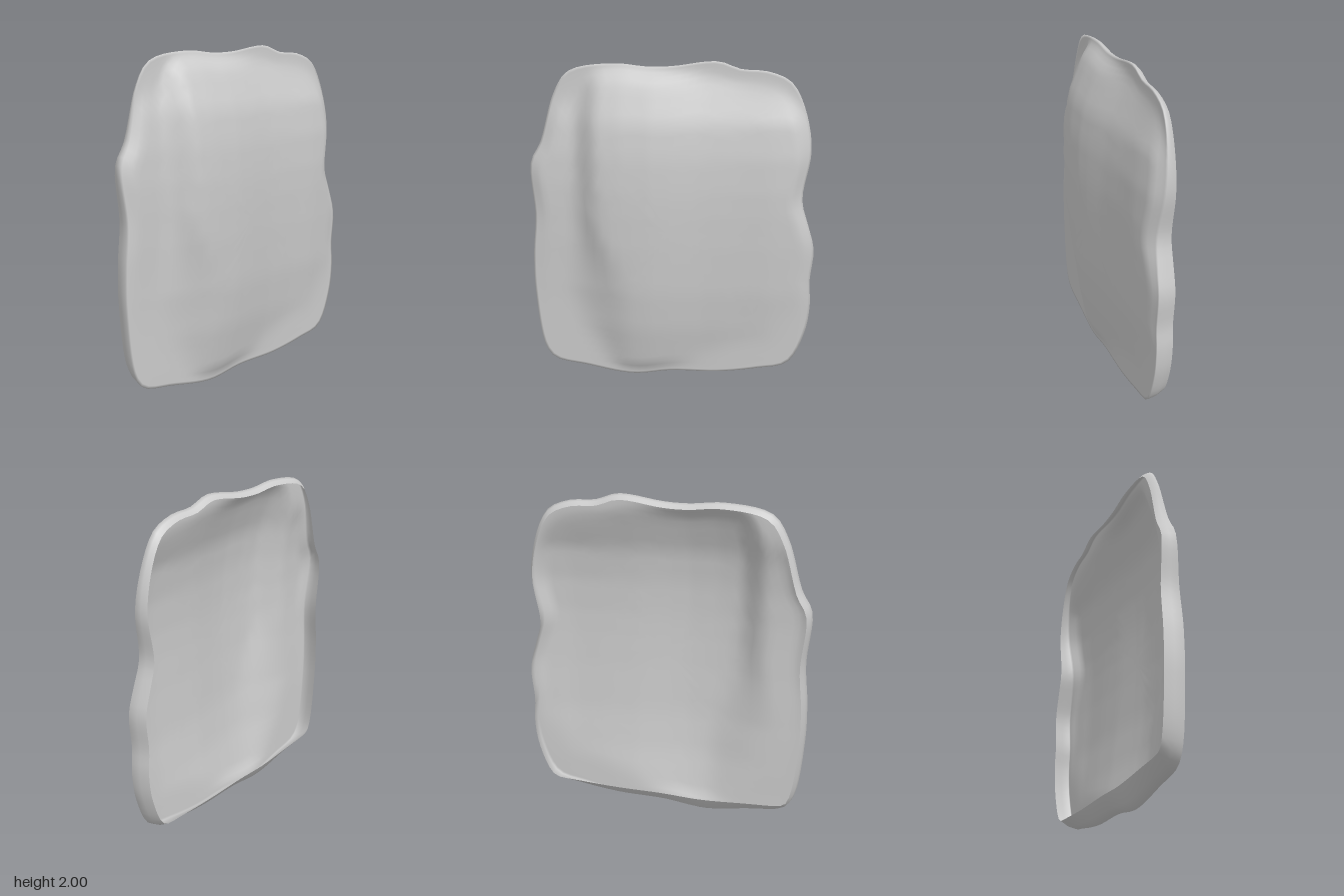
import * as THREE from 'three';

const smooth = (a, b, v) => THREE.MathUtils.smoothstep(v, a, b);
const lerp = THREE.MathUtils.lerp;

// Straight interpolation through [position, value] pairs
function profile(points, v) {
  if (v <= points[0][0]) return points[0][1];
  for (let i = 1; i < points.length; i++) {
    const [p, a] = points[i - 1], [q, b] = points[i];
    if (v <= q) return lerp(a, b, (v - p) / (q - p));
  }
  return points[points.length - 1][1];
}

// Slab outline as [z, y], counter-clockwise seen from +x
const OUTLINE = [
  [-0.78, 1.2], [-0.82, 1.48], [-0.8, 1.65], [-0.74, 1.82], [-0.68, 1.9], [-0.55, 1.95],
  [-0.4, 1.96], [-0.28, 2], [-0.2, 2], [0, 1.97], [0.15, 1.965], [0.35, 1.98],
  [0.62, 1.93], [0.71, 1.8], [0.8, 1.5], [0.86, 1.38], [0.84, 1.05], [0.86, 0.8],
  [0.86, 0.55], [0.81, 0.17], [0.75, 0.09], [0.55, 0.05], [0.25, 0.005], [0, 0.04],
  [-0.3, 0.05], [-0.55, 0.09], [-0.73, 0.14], [-0.83, 0.35], [-0.855, 0.55],
  [-0.845, 0.68], [-0.86, 0.9], [-0.82, 1.05],
];

// Bulge of the face across its width and its height
const ACROSS = [[-0.85, 0], [-0.8, 0.01], [-0.6, 0.04], [-0.4, 0.052], [-0.2, 0.07],
  [0, 0.1], [0.12, 0.115], [0.3, 0.12], [0.45, 0.11], [0.6, 0.1]];
const UPWARD = [[0, -0.02], [0.1, 0.02], [0.35, 0.07], [0.6, 0.1], [0.9, 0.115],
  [1.1, 0.12], [1.25, 0.12], [1.45, 0.11], [1.65, 0.08], [1.85, 0], [2, -0.08]];

const BACK = -0.12;
const edgeX = (y) => -0.015 - 0.065 * smooth(0.8, 2, y);

// Face height, with a ledge near +z that softens towards the bottom
function faceX(z, y) {
  const low = 1 - smooth(0.45, 1.1, y);
  const step = smooth(lerp(0.42, 0.2, low), lerp(0.6, 0.72, low), z);
  const bulge = lerp(profile(ACROSS, z), 0, step);
  const x = bulge - 0.12 + profile(UPWARD, y);
  const e = edgeX(y);
  // soft maximum against the edge level
  return 0.5 * (x + e + Math.sqrt((x - e) ** 2 + 0.0002));
}

function slabGeometry() {
  const curve = new THREE.CatmullRomCurve3(
    OUTLINE.map(([z, y]) => new THREE.Vector3(0, y, z)), true, 'centripetal');
  const n = 128;
  const loop = curve.getSpacedPoints(n).slice(0, n);
  const rings = [];

  // Side wall: open back rim, mid ring, then the widest edge
  for (const t of [0, 0.5, 1]) {
    rings.push(loop.map(({ y, z }) => {
      const rimY = Math.max(1 + (y - 1) * 0.97, 0.12 + 0.3 * y);
      const out = Math.sin(t * Math.PI / 2);
      return [lerp(BACK, edgeX(y), t), lerp(rimY, y, out), lerp(z * 0.97, z, out)];
    }));
  }
  // Front face: shrinking rings that follow the bulge
  for (const s of [0.985, 0.965, 0.94, 0.91, 0.87, 0.82, 0.77, 0.72, 0.66, 0.6, 0.54,
    0.47, 0.4, 0.32, 0.24, 0.16, 0.08]) {
    rings.push(loop.map((p) => {
      const y = 1 + (p.y - 1) * s, z = p.z * s;
      return [lerp(edgeX(p.y), faceX(z, y), smooth(-0.02, 0.1, 1 - s)), y, z];
    }));
  }

  const positions = rings.flat(2);
  const centre = positions.length / 3;
  positions.push(faceX(0, 1), 1, 0);
  const index = [];
  for (let i = 0; i < n; i++) {
    const j = (i + 1) % n;
    for (let r = 0; r < rings.length - 1; r++) {
      const a = r * n + i, b = r * n + j, c = a + n, d = b + n;
      index.push(a, b, d, a, d, c);
    }
    const last = (rings.length - 1) * n;
    index.push(last + i, last + j, centre);
  }
  const geometry = new THREE.BufferGeometry();
  geometry.setAttribute('position', new THREE.Float32BufferAttribute(positions, 3));
  geometry.setIndex(index);
  geometry.computeVertexNormals();
  return geometry;
}

export function createModel() {
  const group = new THREE.Group();
  group.name = 'stoneSlab';
  // Open-backed shell
  const slab = new THREE.Mesh(slabGeometry(),
    new THREE.MeshStandardMaterial({ color: 0xcccccc, side: THREE.DoubleSide }));
  slab.name = 'slabShell';
  group.add(slab);
  return group;
}
